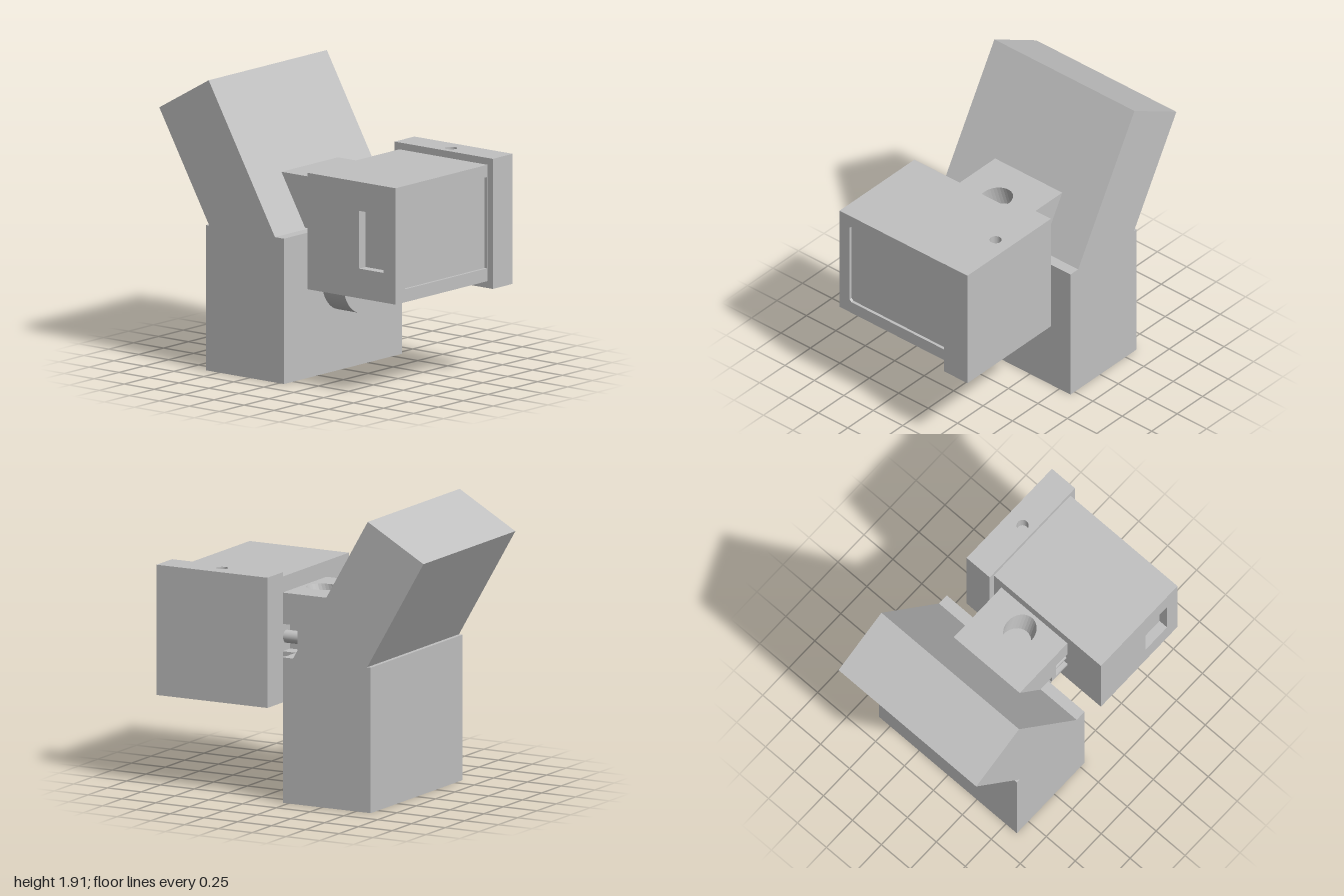
import * as THREE from 'three';

const grey = new THREE.MeshStandardMaterial({ color: 0xc0c0c0 });
grey.name = 'light grey';

const polygon = (pts) => new THREE.Shape(pts.map(([a, b]) => new THREE.Vector2(a, b)));
const rect = (a0, b0, a1, b1) => polygon([[a0, b0], [a1, b0], [a1, b1], [a0, b1]]);

function ellipse(a, b, ra, rb) {
  const path = new THREE.Path();
  path.absellipse(a, b, ra, rb, 0, Math.PI * 2, true);
  return path;
}

const extrude = (shape, depth) =>
  new THREE.ExtrudeGeometry(shape, { depth, bevelEnabled: false, curveSegments: 16 });

// (z, y) profile running from x0 to x1
const alongX = (shape, x0, x1) => extrude(shape, x1 - x0).rotateY(-Math.PI / 2).translate(x1, 0, 0);
// (x, z) outline running from y0 to y1
const alongY = (shape, y0, y1) => extrude(shape, y1 - y0).rotateX(Math.PI / 2).translate(0, y1, 0);
// box given by its two opposite corners
const block = (x0, y0, z0, x1, y1, z1) =>
  new THREE.BoxGeometry(x1 - x0, y1 - y0, z1 - z0)
    .translate((x0 + x1) / 2, (y0 + y1) / 2, (z0 + z1) / 2);

export function createModel() {
  const model = new THREE.Group();
  const add = (name, geometry) => {
    const mesh = new THREE.Mesh(geometry, grey);
    mesh.name = name;
    model.add(mesh);
  };

  // Upright base with leaning back slab
  add('baseAndBackSlab', alongX(polygon([
    [0.04, 0], [0.04, 0.955], [-0.035, 0.955], [-0.588, 1.91],
    [-1, 1.675], [-0.583, 0.955], [-0.61, 0.955], [-0.61, 0],
  ]), -0.595, 0.595));

  // Round boss between base and housing
  add('boss', new THREE.CylinderGeometry(0.21, 0.21, 0.2, 48)
    .rotateX(Math.PI / 2).translate(0, 0.605, 0.12));

  // Neck top with a slanted socket
  const neckOutline = rect(-0.285, -0.3, 0.285, 0.22);
  neckOutline.holes.push(ellipse(0, 0.08, 0.1, 0.117));
  const neckTop = alongY(neckOutline, 1.15, 1.305);
  const p = neckTop.attributes.position;
  for (let i = 0; i < p.count; i++) {
    if (Math.abs(p.getX(i)) < 0.11 && p.getY(i) < 1.2) p.setZ(i, p.getZ(i) - 0.05);
  }
  neckTop.computeVertexNormals();
  add('neckTop', neckTop);

  // Neck core, and side cheeks with open pockets holding a bolt
  const core = [[-0.3, 0.965], [0.07, 0.965], [0.07, 0.89], [0.22, 0.89], [0.22, 1.15], [-0.3, 1.15]];
  add('neckCore', alongX(polygon(core), -0.185, 0.185));
  const cheek = polygon([
    ...core.slice(0, 4), [0.22, 0.92], [0.11, 0.92], [0.11, 1.1], [0.22, 1.1], ...core.slice(4),
  ]);
  for (const side of [-1, 1]) {
    const x = side * 0.235;
    add('neckCheek', alongX(cheek, x - 0.05, x + 0.05));
    add('pocketBolt', new THREE.CylinderGeometry(0.042, 0.042, 0.12, 24)
      .rotateX(Math.PI / 2).translate(x, 1.01, 0.165));
  }

  // Housing body, slotted side wall and recessed front
  add('housing', block(-0.51, 0.645, 0.22, 0.35, 1.41, 0.935));
  const sideWall = rect(0.22, 0.645, 0.935, 1.41);
  sideWall.holes.push(rect(0.65, 0.84, 0.855, 1.22));
  add('slottedSideWall', alongX(sideWall, -0.575, -0.51));
  const frame = rect(-0.575, 0.645, 0.35, 1.41);
  frame.holes.push(polygon([
    [-0.475, 0.73], [0.345, 0.73], [0.345, 1.33], [-0.475, 1.33], [-0.49, 1.315], [-0.49, 0.745],
  ]));
  add('frontFrame', extrude(frame, 0.02).translate(0, 0, 0.935));

  // Side cover with a blind hole at each end
  const cover = rect(0.35, 0.18, 0.55, 1);
  add('sideCover', alongY(cover, 0.7, 1.355));
  cover.holes.push(ellipse(0.43, 0.585, 0.039, 0.039));
  add('coverTop', alongY(cover, 1.355, 1.455));
  add('coverBottom', alongY(cover, 0.6, 0.7));

  return model;
}
